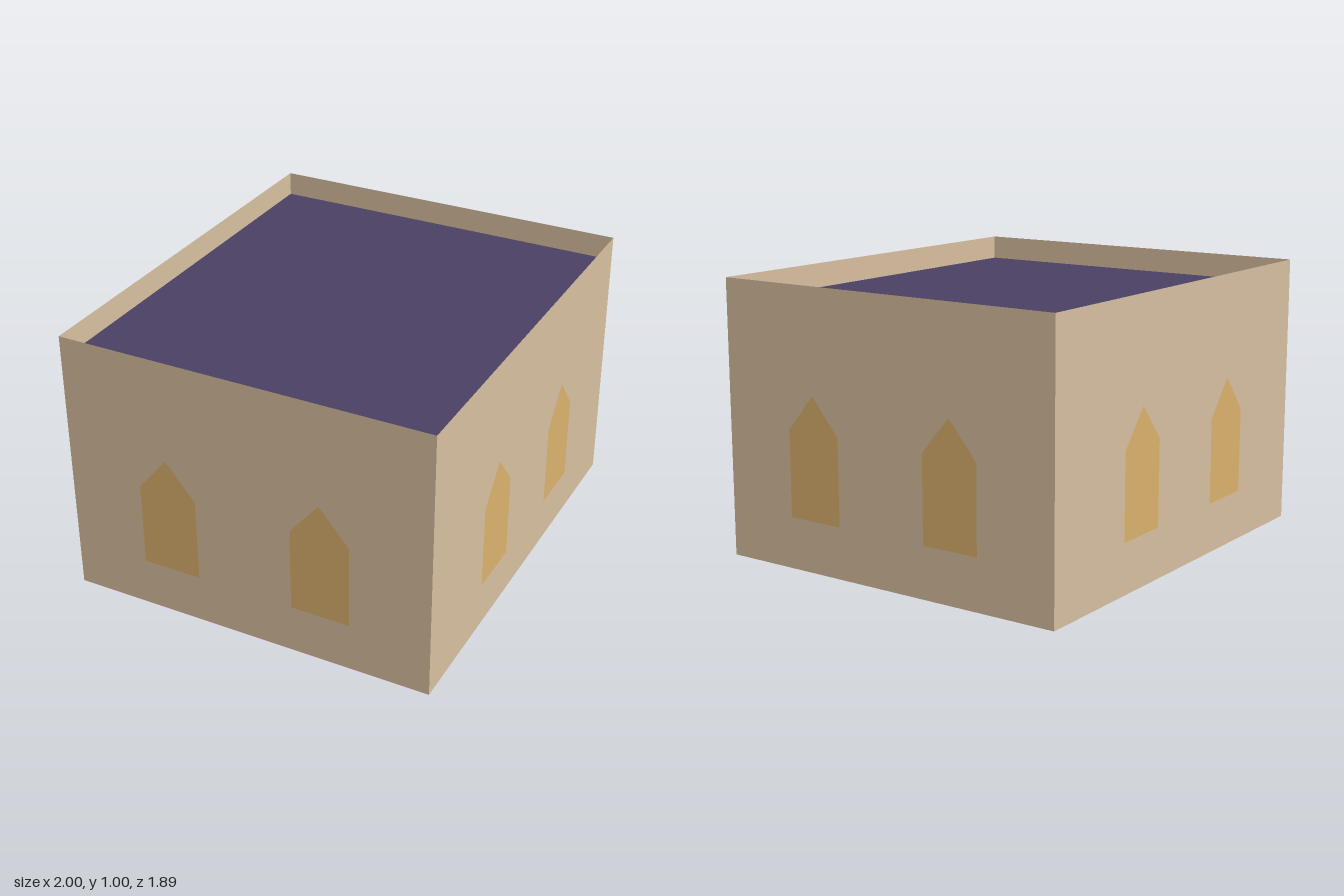
import * as THREE from 'three';

const WIDTH = 1.577, DEPTH = 1.374, HEIGHT = 1, ROOF_Y = 0.91;
const TURN = THREE.MathUtils.degToRad(23.6);

const material = (name, color, side = THREE.FrontSide) => {
  const m = new THREE.MeshStandardMaterial({ color, side });
  m.name = name;
  return m;
};

// Pointed window outline, centred on x
function windowShape(halfWidth, sill, shoulder, peak) {
  return new THREE.Shape([
    new THREE.Vector2(-halfWidth, sill),
    new THREE.Vector2(halfWidth, sill),
    new THREE.Vector2(halfWidth, shoulder),
    new THREE.Vector2(0, peak),
    new THREE.Vector2(-halfWidth, shoulder),
  ]);
}

export function createModel() {
  const stone = material('sandstone', 0xd6be9f, THREE.DoubleSide);
  const slate = material('purple roof', 0x4a4063, THREE.DoubleSide);
  const glow = material('amber window', 0xd9b06c);

  const model = new THREE.Group();
  model.name = 'house';
  const house = new THREE.Group();
  house.name = 'turnedHouse';
  house.rotation.y = TURN;
  model.add(house);

  const windowGeometry = new THREE.ShapeGeometry(windowShape(0.109, 0.19, 0.5, 0.63));

  // Four thin walls, each with two windows on the outside
  ['front', 'left', 'back', 'right'].forEach((name, i) => {
    const side = new THREE.Group();
    side.name = name + 'Side';
    side.rotation.y = i * Math.PI / 2;
    const length = i % 2 ? DEPTH : WIDTH;
    const distance = (i % 2 ? WIDTH : DEPTH) / 2;

    const wall = new THREE.Mesh(new THREE.PlaneGeometry(length, HEIGHT), stone);
    wall.name = name + 'Wall';
    wall.position.set(0, HEIGHT / 2, distance);
    side.add(wall);

    for (const s of [-1, 1]) {
      const pane = new THREE.Mesh(windowGeometry, glow);
      pane.name = name + 'Window';
      pane.position.set(s * 0.289, 0, distance + 0.012);
      side.add(pane);
    }
    house.add(side);
  });

  // Flat roof sunk below the parapet; the underside is open
  const roof = new THREE.Mesh(new THREE.PlaneGeometry(WIDTH, DEPTH), slate);
  roof.name = 'roof';
  roof.rotation.x = -Math.PI / 2;
  roof.position.y = ROOF_Y;
  house.add(roof);

  return model;
}
